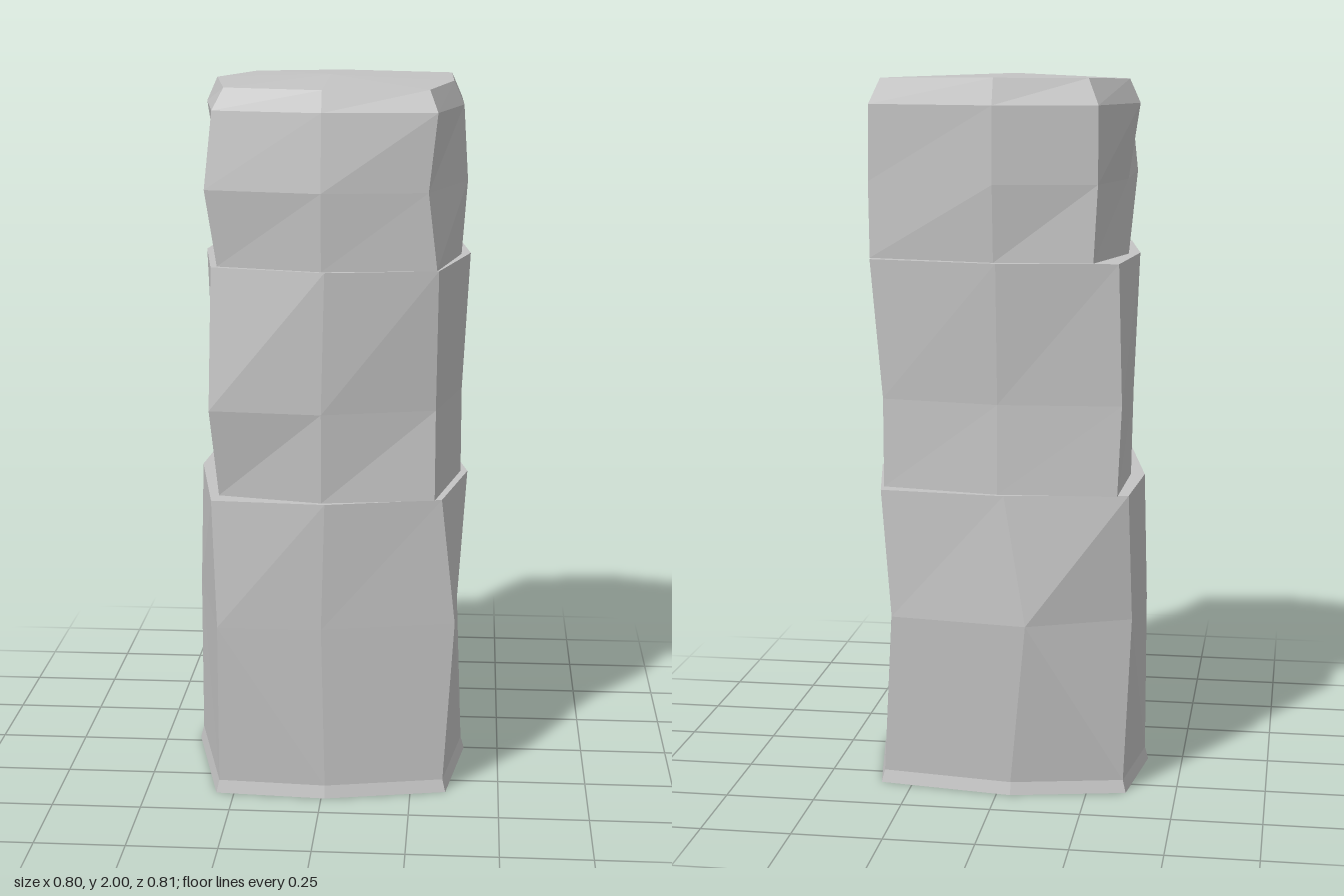
import * as THREE from 'three';

const stone = new THREE.MeshStandardMaterial({ color: 0xc3c3c3, flatShading: true, side: THREE.DoubleSide });
stone.name = 'pale grey stone';

// Each ring: height, then x,z pairs from the front left corner round to the left middle
const lowerRings = [
  { y: 0, p: [-0.30, 0.385, 0.01, 0.405, 0.35, 0.335, 0.40, 0, 0.34, -0.335, -0.04, -0.385, -0.36, -0.32, -0.40, -0.03] },
  { y: 0.5, p: [-0.29, 0.40, 0, 0.40, 0.37, 0.32, 0.372, 0, 0.30, -0.36, -0.085, -0.41, -0.37, -0.29, -0.39, -0.03] },
  { y: 0.86, p: [-0.305, 0.378, 0.01, 0.40, 0.33, 0.325, 0.398, 0, 0.33, -0.345, -0.02, -0.375, -0.36, -0.32, -0.38, -0.03] },
];
// Narrow flare at the foot
lowerRings.splice(1, 0, { y: 0.035, p: lowerRings[0].p.map((v) => v * 0.975) });

const middleRings = [
  { y: 0.86, p: [-0.29, 0.32, 0, 0.385, 0.31, 0.335, 0.378, 0, 0.33, -0.30, 0, -0.36, -0.33, -0.34, -0.34, -0.03] },
  { y: 1.11, p: [-0.31, 0.365, 0, 0.395, 0.31, 0.315, 0.378, 0.01, 0.33, -0.30, 0, -0.355, -0.34, -0.33, -0.345, -0.03] },
  { y: 1.5, p: [-0.305, 0.32, 0.01, 0.40, 0.315, 0.345, 0.398, 0, 0.36, -0.315, 0, -0.385, -0.33, -0.345, -0.36, -0.03] },
];

const upperRings = [
  { y: 1.5, p: [-0.29, 0.305, 0, 0.385, 0.31, 0.345, 0.372, 0.02, 0.367, -0.28, 0.01, -0.36, -0.26, -0.34, -0.33, -0.06] },
  { y: 1.71, p: [-0.32, 0.325, 0, 0.395, 0.285, 0.35, 0.387, 0.03, 0.37, -0.277, 0.01, -0.38, -0.27, -0.33, -0.328, -0.07] },
  { y: 1.92, p: [-0.30, 0.30, 0, 0.37, 0.308, 0.345, 0.374, 0.03, 0.365, -0.285, 0.01, -0.38, -0.27, -0.33, -0.36, -0.075] },
  { y: 1.985, tilt: 0.02, p: [-0.27, 0.275, 0, 0.345, 0.285, 0.315, 0.345, 0.02, 0.335, -0.265, 0.01, -0.355, -0.24, -0.30, -0.33, -0.075] },
];

// Joins the rings into walls and closes the top; the foot stays open
function block(name, rings, topY, fallingBand = -1) {
  const positions = [];
  const index = [];
  for (const { y, p, tilt = 0 } of rings) {
    for (let i = 0; i < 8; i++) positions.push(p[2 * i], y - tilt * p[2 * i + 1], p[2 * i + 1]);
  }
  for (let r = 0; r < rings.length - 1; r++) {
    for (let i = 0; i < 8; i++) {
      const a = r * 8 + i;
      const b = r * 8 + ((i + 1) % 8);
      const c = b + 8;
      const d = a + 8;
      if (r === fallingBand) index.push(a, b, d, b, c, d);
      else index.push(a, b, c, a, c, d);
    }
  }
  const top = (rings.length - 1) * 8;
  positions.push(0, topY, 0);
  for (let i = 0; i < 8; i++) index.push(top + i, top + ((i + 1) % 8), top + 8);

  const indexed = new THREE.BufferGeometry();
  indexed.setAttribute('position', new THREE.Float32BufferAttribute(positions, 3));
  indexed.setIndex(index);
  const geometry = indexed.toNonIndexed();
  geometry.computeVertexNormals();
  const mesh = new THREE.Mesh(geometry, stone);
  mesh.name = name;
  return mesh;
}

export function createModel() {
  const pillar = new THREE.Group();
  pillar.name = 'stonePillar';
  pillar.add(
    block('lowerBlock', lowerRings, 0.86, 1),
    block('middleBlock', middleRings, 1.5),
    block('upperBlock', upperRings, 2),
  );
  return pillar;
}
